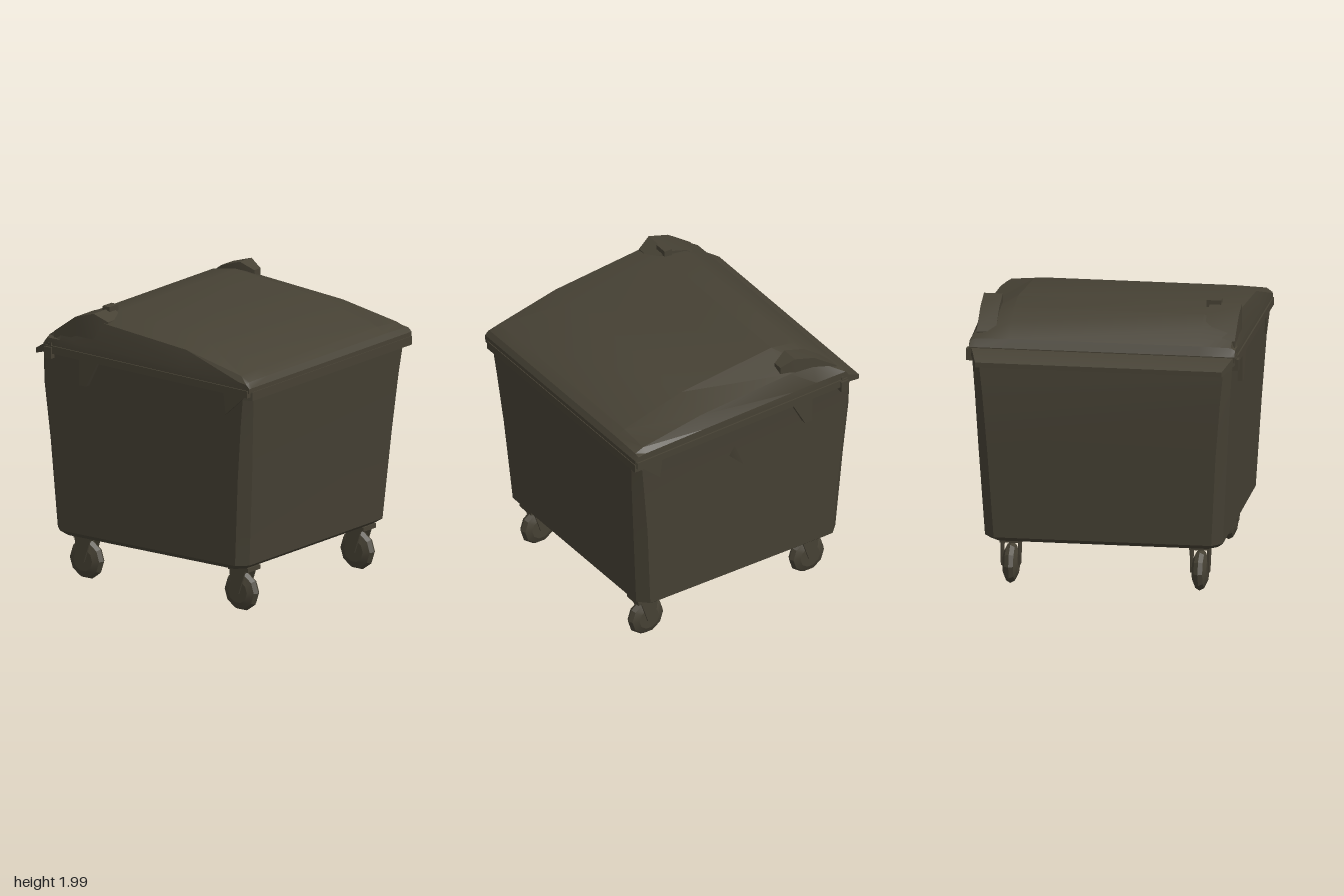
import * as THREE from 'three';
import { toCreasedNormals } from 'three/addons/utils/BufferGeometryUtils.js';

const paint = new THREE.MeshStandardMaterial({ color: 0x464134, side: THREE.DoubleSide });
paint.name = 'dark olive';

// Skin a stack of convex rings and close both ends
function loft(rings, crease = 0.5) {
  const pos = [];
  const tri = (...pts) => pts.forEach((p) => pos.push(...p));
  const n = rings[0].length;
  for (let i = 0; i < rings.length - 1; i++) {
    for (let j = 0; j < n; j++) {
      const k = (j + 1) % n;
      const [a, b, c, d] = [rings[i][j], rings[i][k], rings[i + 1][k], rings[i + 1][j]];
      tri(a, b, c);
      tri(a, c, d);
    }
  }
  const first = rings[0], last = rings[rings.length - 1];
  for (let j = 1; j < n - 1; j++) {
    tri(first[0], first[j + 1], first[j]);
    tri(last[0], last[j], last[j + 1]);
  }
  const g = new THREE.BufferGeometry();
  g.setAttribute('position', new THREE.Float32BufferAttribute(pos, 3));
  g.computeVertexNormals();
  return toCreasedNormals(g, crease);
}

// Rectangular slice across the bin at depth z
const slice = (z, x0, x1, y0, y1) => [[x0, y1, z], [x1, y1, z], [x1, y0, z], [x0, y0, z]];

// Horizontal body ring with chamfered corners
function bodyRing([y, x0, x1, zb, zf, c]) {
  return [
    [x0 + c, zf], [x1 - c, zf], [x1, zf - c], [x1, zb + c],
    [x1 - c, zb], [x0 + c, zb], [x0, zb + c], [x0, zf - c],
  ].map(([x, z]) => [x, y, z]);
}

// Lid slice: rim, sloped shoulders and a flat middle panel
function lidRing([z, base, top]) {
  const rim = Math.min(base + 0.06, top);
  const at = (t) => rim + (top - rim) * t;
  return [
    [-0.96, base, z], [-0.96, rim, z], [-0.93, at(0.82), z], [-0.71, top, z],
    [0.6, top, z], [0.83, at(0.6), z], [0.87, rim, z], [0.87, base, z],
  ];
}

// Thin plate drawn in the side plane as [z, y] points, standing at x
function sidePlate(points, x, thick) {
  const s = new THREE.Shape(points.map(([z, y]) => new THREE.Vector2(-z, y)));
  const g = new THREE.ExtrudeGeometry(s, { depth: thick, bevelEnabled: false });
  g.rotateY(Math.PI / 2);
  g.translate(x - thick / 2, 0, 0);
  return g;
}

export function createModel() {
  const model = new THREE.Group();
  model.name = 'wheeledBin';
  const add = (name, geometry, parent = model) => {
    const m = new THREE.Mesh(geometry, paint);
    m.name = name;
    parent.add(m);
    return m;
  };

  // Tapered container
  add('body', loft([
    [0.335, -0.83, 0.73, -0.77, 0.77, 0.06],
    [0.37, -0.87, 0.77, -0.82, 0.82, 0.07],
    [1.0, -0.905, 0.81, -0.855, 0.87, 0.07],
    [1.4, -0.93, 0.83, -0.88, 0.905, 0.06],
    [1.66, -0.945, 0.85, -0.87, 0.93, 0.05],
  ].map(bodyRing), 0.3));

  // Rim under the lid
  add('frontRim', loft([
    slice(0.945, -0.93, 0.87, 1.585, 1.645),
    slice(0.88, -0.95, 0.87, 1.585, 1.65),
  ]));
  for (const [name, x0, x1] of [['rightRim', -0.97, -0.92], ['leftRim', 0.83, 0.88]]) {
    add(name, loft([slice(0.93, x0, x1, 1.61, 1.66), slice(-0.8, x0, x1, 1.645, 1.7)]));
  }

  // Sloping lid with a rounded back
  add('lid', loft([
    [0.94, 1.64, 1.675], [0.915, 1.64, 1.715], [0.85, 1.65, 1.755], [0.38, 1.665, 1.88],
    [-0.36, 1.685, 1.96], [-0.55, 1.69, 1.93], [-0.68, 1.69, 1.86],
    [-0.79, 1.69, 1.77], [-0.82, 1.67, 1.71],
  ].map(lidRing), 0.35));

  // Grip flange along the back
  add('backFlange', loft([
    slice(-0.75, -0.97, 0.88, 1.65, 1.72),
    slice(-0.8, -0.96, 0.86, 1.65, 1.715),
    slice(-0.94, -0.89, 0.81, 1.6, 1.635),
  ]));

  // Raised hinge ends on the lid ridge
  for (const [name, x0, x1] of [['rightHingeEnd', -0.95, -0.73], ['leftHingeEnd', 0.7, 0.83]]) {
    add(name, loft([
      slice(-0.3, x0 + 0.03, x1 - 0.03, 1.75, 1.93),
      slice(-0.4, x0, x1, 1.72, 1.98),
      slice(-0.56, x0, x1, 1.72, 1.93),
      slice(-0.74, x0, x1, 1.7, 1.8),
    ]));
  }
  add('hingeKnob', new THREE.BoxGeometry(0.1, 0.05, 0.06)).position.set(-0.76, 1.975, -0.4);

  // Side brackets, corner gussets and rim lugs
  const bracket = [[-0.33, 1.68], [-0.45, 1.46], [-0.51, 1.46], [-0.51, 1.69]];
  const gusset = [[0.91, 1.62], [0.71, 1.62], [0.73, 1.46]];
  for (const [side, x, s] of [['left', 0.855, 1], ['right', -0.945, -1]]) {
    add(side + 'Bracket', sidePlate(bracket, x, 0.05));
    add(side + 'Gusset', sidePlate(gusset, x - s * 0.01, 0.03));
    add(side + 'Lug', new THREE.BoxGeometry(0.06, 0.08, 0.06)).position.set(x + s * 0.01, 1.65, -0.77);
  }

  // Pointed side catch
  add('sideCatch', loft([
    [[0.83, 1.46, 0.1], [0.83, 1.39, 0.14], [0.83, 1.4, 0.1]],
    [[0.98, 1.405, 0.12], [0.98, 1.4, 0.125], [0.98, 1.4, 0.12]],
  ]));

  // Swivel castors
  const tyre = new THREE.LatheGeometry(
    [[0, -0.05], [0.08, -0.05], [0.125, -0.03], [0.142, 0], [0.125, 0.03], [0.08, 0.05], [0, 0.05]]
      .map(([r, h]) => new THREE.Vector2(r, h)), 10);
  tyre.rotateZ(Math.PI / 2);
  const wheelGeometry = toCreasedNormals(tyre, 0.4);
  for (const [end, z] of [['front', 0.68], ['back', -0.645]]) {
    for (const [side, x] of [['Left', 0.605], ['Right', -0.7]]) {
      const castor = new THREE.Group();
      castor.name = end + side + 'Castor';
      castor.position.set(x, 0, z);
      add('wheel', wheelGeometry, castor).position.y = 0.15;
      add('mount', new THREE.BoxGeometry(0.14, 0.03, 0.17), castor).position.set(0, 0.32, 0.02);
      for (const s of [-1, 1]) {
        add('fork', sidePlate([[0.08, 0.32], [-0.06, 0.32], [-0.04, 0.14], [0.02, 0.14]], s * 0.06, 0.012), castor);
      }
      model.add(castor);
    }
  }
  return model;
}
